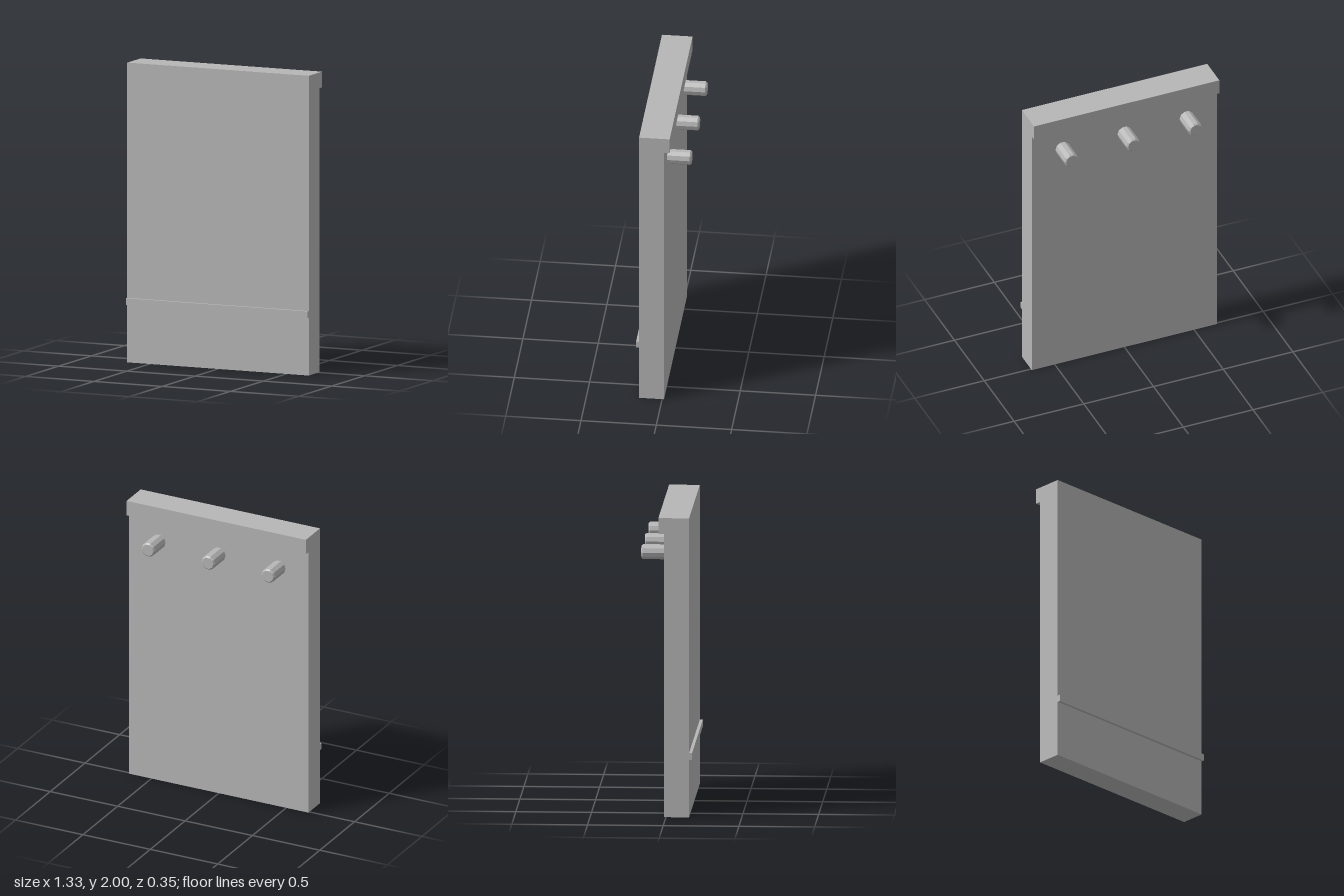
import * as THREE from 'three';

const WIDTH = 1.33;
const FRONT = 0.153, BACK = -0.013, LIP = -0.05;

export function createModel() {
  const group = new THREE.Group();
  const grey = new THREE.MeshStandardMaterial({ color: 0xb6b6b6, flatShading: true });
  grey.name = 'plain grey';

  const add = (name, geometry, x = 0, y = 0, z = 0) => {
    const mesh = new THREE.Mesh(geometry, grey);
    mesh.name = name;
    mesh.position.set(x, y, z);
    group.add(mesh);
  };

  // Slab with an overhanging lip along the top of its back: side profile (z, y) run along x
  const profile = new THREE.Shape([
    [BACK, 0], [FRONT, 0], [FRONT, 2], [LIP, 2], [LIP, 1.895], [BACK, 1.895],
  ].map(([z, y]) => new THREE.Vector2(z, y)));
  const slab = new THREE.ExtrudeGeometry(profile, { depth: WIDTH, bevelEnabled: false });
  slab.rotateY(-Math.PI / 2).translate(WIDTH / 2, 0, 0);
  add('panelWithLip', slab);

  // Thin raised rail across the front
  add('frontRail', new THREE.BoxGeometry(WIDTH, 0.045, 0.02), 0, 0.408, FRONT + 0.01);

  // Ten-sided chamfered pegs pointing out of the back
  const length = 0.16;
  const peg = new THREE.LatheGeometry([
    [0.05, 0], [0.05, length - 0.01], [0.041, length], [0, length],
  ].map(([r, y]) => new THREE.Vector2(r, y)), 10);
  peg.rotateY(Math.PI / 2).rotateX(-Math.PI / 2);
  for (const [name, x] of [['rightPeg', -0.445], ['middlePeg', 0], ['leftPeg', 0.445]]) {
    add(name, peg, x, 1.738, BACK);
  }

  return group;
}
